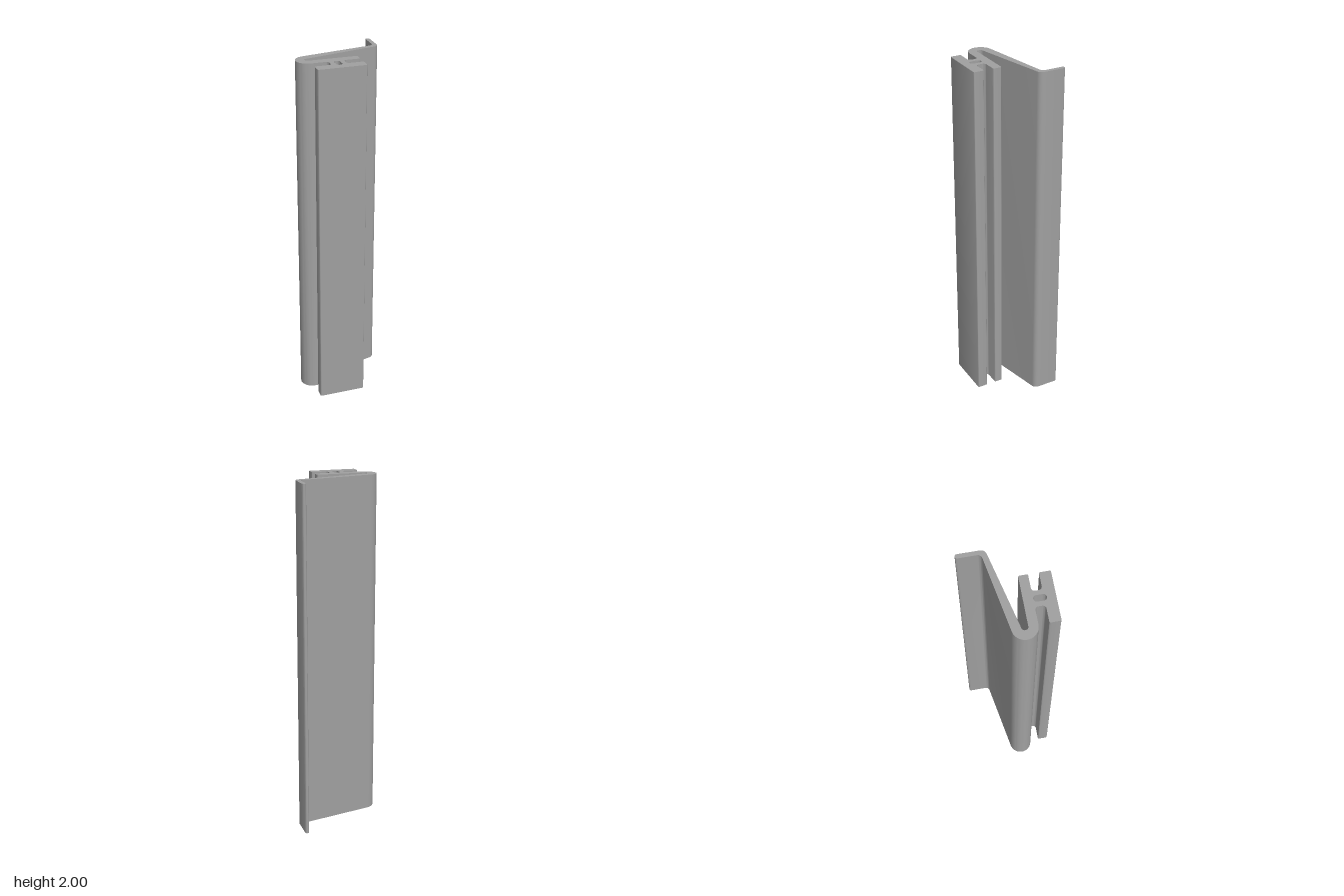
import * as THREE from 'three';
import { toCreasedNormals } from 'three/addons/utils/BufferGeometryUtils.js';

const HEIGHT = 2;

// Points of a circular arc, in plan coordinates (x, z)
function arc(cx, cz, r, a0, a1, steps) {
  return Array.from({ length: steps + 1 }, (_, i) => {
    const a = a0 + (a1 - a0) * i / steps;
    return new THREE.Vector2(cx + r * Math.cos(a), cz + r * Math.sin(a));
  });
}

// Replaces each corner [x, z, radius] by a true circular fillet; radius 0 keeps the point
function filletOutline(corners) {
  const n = corners.length;
  const at = (i) => new THREE.Vector2(corners[(i + n) % n][0], corners[(i + n) % n][1]);
  return corners.flatMap(([, , r], i) => {
    const p = at(i);
    if (!r) return [p];
    const u = at(i - 1).sub(p).normalize();
    const v = at(i + 1).sub(p).normalize();
    const half = Math.acos(u.dot(v)) / 2;
    const c = u.clone().add(v).normalize().multiplyScalar(r / Math.sin(half)).add(p);
    const t = r / Math.tan(half);
    const s = u.multiplyScalar(t).add(p).sub(c);
    const e = v.multiplyScalar(t).add(p).sub(c);
    const a0 = s.angle();
    let d = e.angle() - a0;
    if (d > Math.PI) d -= 2 * Math.PI;
    if (d < -Math.PI) d += 2 * Math.PI;
    return arc(c.x, c.y, r, a0, a0 + d, 6);
  });
}

export function createModel() {
  const group = new THREE.Group();
  group.name = 'extrudedSealStrip';
  const grey = new THREE.MeshStandardMaterial({ color: 0xa0a0a0 });
  grey.name = 'grey';

  const rad = THREE.MathUtils.degToRad;
  const sharp = (v) => [v.x, v.y, 0];
  const bend = [-0.184, 0.043];

  const outline = filletOutline([
    // front flange
    [-0.184, 0.162, 0.007], [-0.184, 0.221, 0.007], [0.082, 0.221, 0.007], [0.082, 0.162, 0.007],
    // right side of the web
    [-0.009, 0.162, 0.017], [-0.009, 0.109, 0.017],
    // rear flange end
    [0.082, 0.109, 0.007], [0.082, 0.06, 0.007],
    // inside of the hairpin bend
    ...arc(...bend, 0.017, rad(90), rad(257.4), 14).map(sharp),
    // lip with rounded tip
    [0.249, -0.0725, 0.031], [0.249, -0.223, 0.0113], [0.226, -0.223, 0.0113], [0.226, -0.0955, 0.024],
    // outside of the hairpin bend
    ...arc(...bend, 0.066, rad(260), rad(90), 22).map(sharp),
    // left side of the web
    [-0.092, 0.109, 0.017], [-0.092, 0.162, 0.017],
  ]);

  // rounded slot through the web
  const slot = [
    ...arc(-0.05, 0.126, 0.017, Math.PI, 2 * Math.PI, 12),
    ...arc(-0.05, 0.159, 0.017, 0, Math.PI, 12),
  ];

  // shape y is -z, so the extrusion can be turned upright
  const flip = (pts) => pts.map((p) => new THREE.Vector2(p.x, -p.y));
  const shape = new THREE.Shape(flip(outline));
  shape.holes.push(new THREE.Path(flip(slot)));

  const extrusion = new THREE.ExtrudeGeometry(shape, { depth: HEIGHT, bevelEnabled: false });
  extrusion.rotateX(-Math.PI / 2);
  const profile = new THREE.Mesh(toCreasedNormals(extrusion, rad(35)), grey);
  profile.name = 'stripProfile';
  group.add(profile);
  return group;
}
